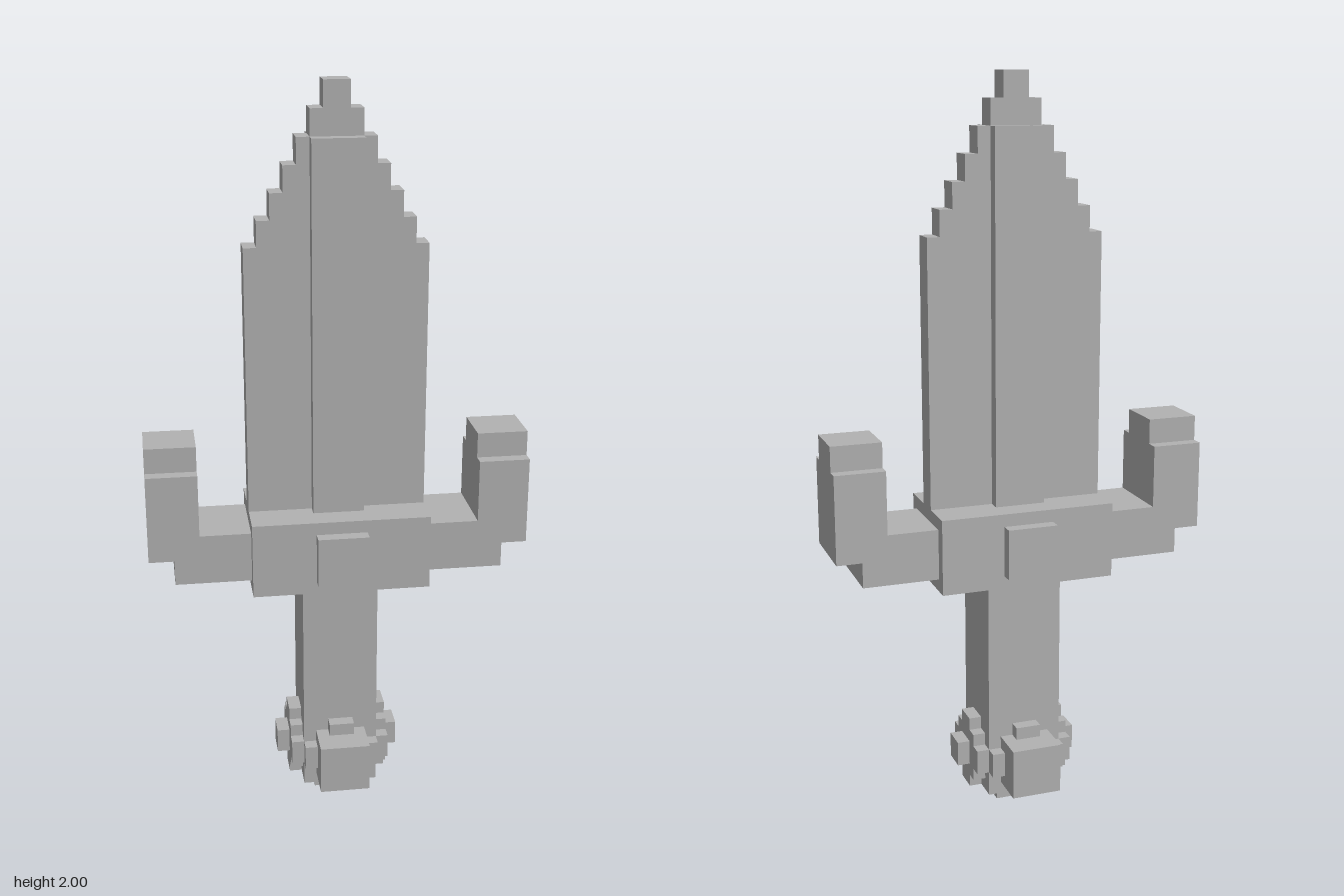
import * as THREE from 'three';

const H = 2 / 58; // half a block, the unit of every measure below

export function createModel() {
  const model = new THREE.Group();
  model.name = 'blockSword';
  const grey = new THREE.MeshStandardMaterial({ color: 0xb2b2b2 });
  grey.name = 'grey';

  const add = (geometry, name, parent = model) => {
    const mesh = new THREE.Mesh(geometry, grey);
    mesh.name = name;
    parent.add(mesh);
    return mesh;
  };
  const group = (name) => {
    const g = new THREE.Group();
    g.name = name;
    model.add(g);
    return g;
  };
  // box between two corners, in units of H
  const box = (name, [x0, y0, z0], [x1, y1, z1], parent) =>
    add(new THREE.BoxGeometry((x1 - x0) * H, (y1 - y0) * H, (z1 - z0) * H), name, parent)
      .position.set((x0 + x1) * H / 2, (y0 + y1) * H / 2, (z0 + z1) * H / 2);
  // box centred on x and z, from half sizes
  const centred = (name, x, z, y0, y1, parent) => box(name, [-x, y0, -z], [x, y1, z], parent);
  // flat outline pushed out along z, centred
  const plate = (points, depth) => new THREE.ExtrudeGeometry(
    new THREE.Shape(points.map(([x, y]) => new THREE.Vector2(x * H, y * H))),
    { depth: depth * H, bevelEnabled: false }).translate(0, 0, -depth * H / 2);

  // stepped blade outline
  const right = [[7, 25], [7, 46]];
  for (let i = 6; i >= 1; i--) {
    const y = 46 + (6 - i) * 2;
    right.push([i, y], [i, y + 2]);
  }
  const left = right.map(([x, y]) => [-x, y]).reverse();
  add(plate([...right, ...left], 2), 'blade');
  centred('bladeRidge', 2, 2, 25, 54);

  // crossguard with a raised plate front and back
  const guard = group('crossguard');
  centred('guardBlock', 7, 4, 19, 25, guard);
  for (const s of [1, -1]) {
    box('guardStud', [-2, 20, s > 0 ? 4 : -5], [2, 24, s > 0 ? 5 : -4], guard);
    // upturned arm with a narrower tip
    let arm = [[7, 20], [13, 20], [13, 22], [15, 22], [15, 29], [11, 29], [11, 24], [7, 24]];
    arm = arm.map(([x, y]) => [x * s, y]);
    add(plate(arm, 6), 'guardArm', guard);
    box('armTip', [s > 0 ? 11 : -15, 29, -2], [s > 0 ? 15 : -11, 31, 2], guard);
  }

  centred('grip', 3, 3, 7, 19);

  // rounded pommel: core, foot and a stepped disc on each of four sides
  const pommel = group('pommel');
  centred('pommelCore', 3, 3, 1, 7, pommel);
  centred('pommelFoot', 2, 2, 0, 1, pommel);
  const quarter = [[3, 1], [2, 1], [2, 2], [1, 2], [1, 3]];
  const disc = [
    ...quarter.map(([x, y]) => [x, y]),
    ...quarter.map(([x, y]) => [-x, y]).reverse(),
    ...quarter.map(([x, y]) => [-x, -y]),
    ...quarter.map(([x, y]) => [x, -y]).reverse(),
  ].map(([x, y]) => [x, y + 4]);
  for (let i = 0; i < 4; i++) {
    const side = new THREE.Group();
    side.name = 'pommelSide';
    side.rotation.y = i * Math.PI / 2;
    pommel.add(side);
    add(plate(disc, 1), 'pommelDisc', side).position.z = 3.5 * H;
    if (i % 2 === 0) box('pommelBlock', [-2, 2, 4], [2, 6, 6], side);
    else box('pommelStud', [-1, 3, 4], [1, 5, 5], side);
  }
  return model;
}
